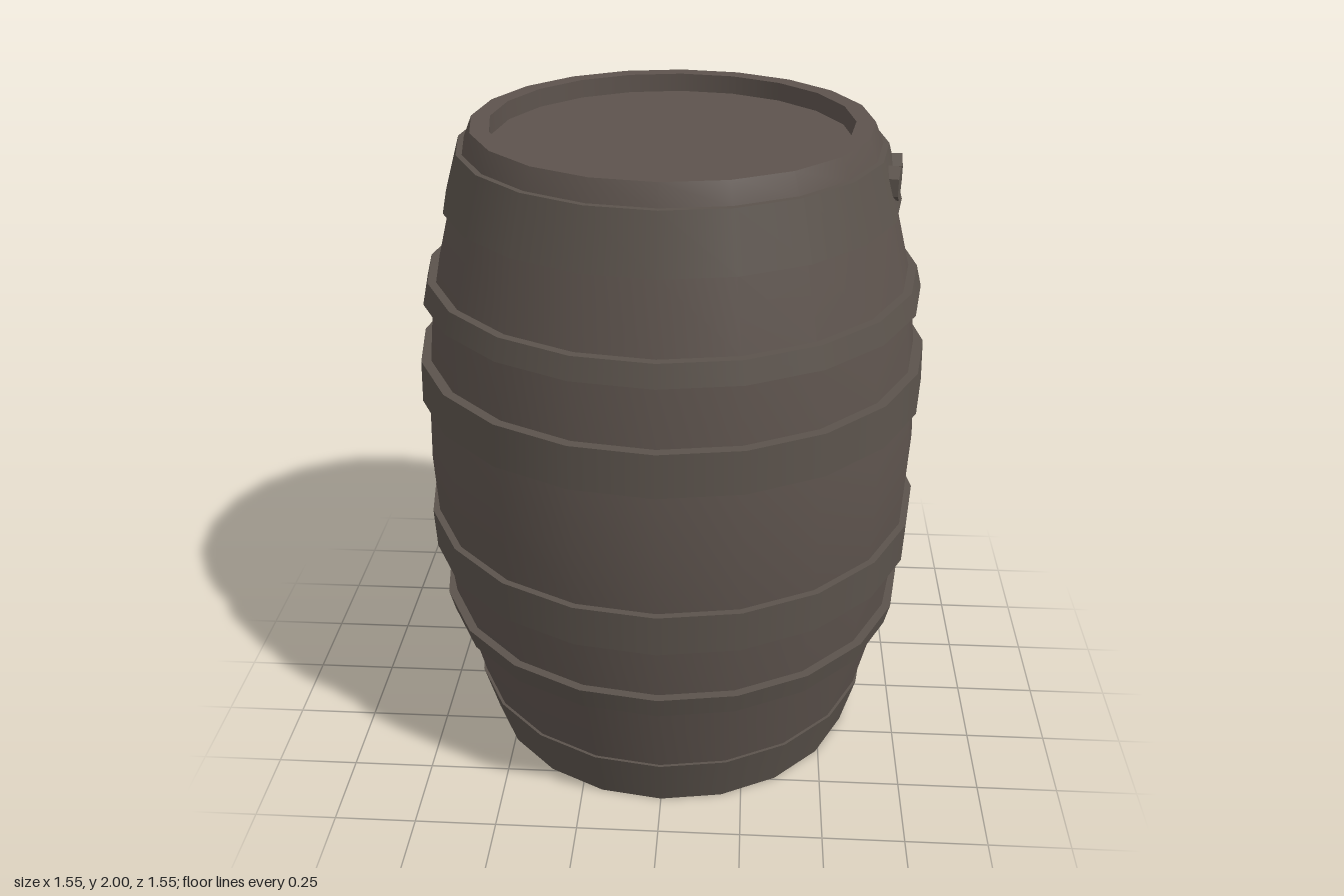
import * as THREE from 'three';
import { mergeGeometries } from 'three/addons/utils/BufferGeometryUtils.js';

const SIDES = 20;

// Smooth surface of revolution from [radius, height] pairs
const turn = (pts) =>
  new THREE.LatheGeometry(pts.map(([r, y]) => new THREE.Vector2(r, y)), SIDES);

// Surface of revolution with a hard edge at every profile point
const turnHard = (pts) =>
  mergeGeometries(pts.slice(1).map((p, i) => turn([pts[i], p])));

export function createModel() {
  const barrel = new THREE.Group();
  barrel.name = 'barrel';
  const wood = new THREE.MeshStandardMaterial({ color: 0x5d534d });
  wood.name = 'dark wood';
  const iron = new THREE.MeshStandardMaterial({ color: 0x5b534c });
  iron.name = 'weathered iron';

  const add = (name, geometry, material) => {
    const mesh = new THREE.Mesh(geometry, material);
    mesh.name = name;
    barrel.add(mesh);
    return mesh;
  };

  // Bulging staves
  add('staves', turn([
    [0.6, 0], [0.645, 0.17], [0.705, 0.43], [0.72, 0.5], [0.738, 0.68], [0.752, 0.81],
    [0.76, 1], [0.752, 1.19], [0.738, 1.33], [0.72, 1.5], [0.705, 1.57],
    [0.652, 1.775], [0.605, 1.94], [0.58, 2],
  ]), wood);

  // Rim, recessed lid and base
  add('rim', turnHard([[0.58, 2], [0.525, 2], [0.525, 1.945]]), wood);
  add('lid', turn([[0.525, 1.945], [0, 1.945]]), wood);
  add('base', turn([[0, 0], [0.608, 0]]), wood);

  // Hoops: bottom height, bottom radius, top height, top radius
  const hoops = [
    ['bottomHoop', 0, 0.608, 0.17, 0.654],
    ['lowerHoop', 0.43, 0.73, 0.5, 0.747],
    ['lowerMiddleHoop', 0.68, 0.768, 0.81, 0.773],
    ['upperMiddleHoop', 1.195, 0.773, 1.325, 0.768],
    ['upperHoop', 1.505, 0.747, 1.57, 0.73],
    ['topHoop', 1.775, 0.67, 1.94, 0.622],
  ];
  for (const [name, y0, r0, y1, r1] of hoops) {
    add(name, turnHard([
      [r0 - 0.05, y0], [r0, y0], [r1, y1], [r1 - 0.05, y1],
    ]), iron);
  }

  // Two hexagonal rivets on the top hoop
  const rivet = new THREE.CylinderGeometry(0.05, 0.05, 0.036, 6)
    .rotateY(Math.PI / 6)
    .rotateZ(-Math.PI / 2)
    .toNonIndexed();
  rivet.computeVertexNormals();
  [[0.643, -0.003, 0], [0.63, 0.122, 0.19]].forEach(([x, z, angle], i) => {
    const mesh = add(`rivet${i + 1}`, rivet, iron);
    mesh.position.set(x, 1.86, z);
    mesh.rotation.y = -angle;
  });

  return barrel;
}
